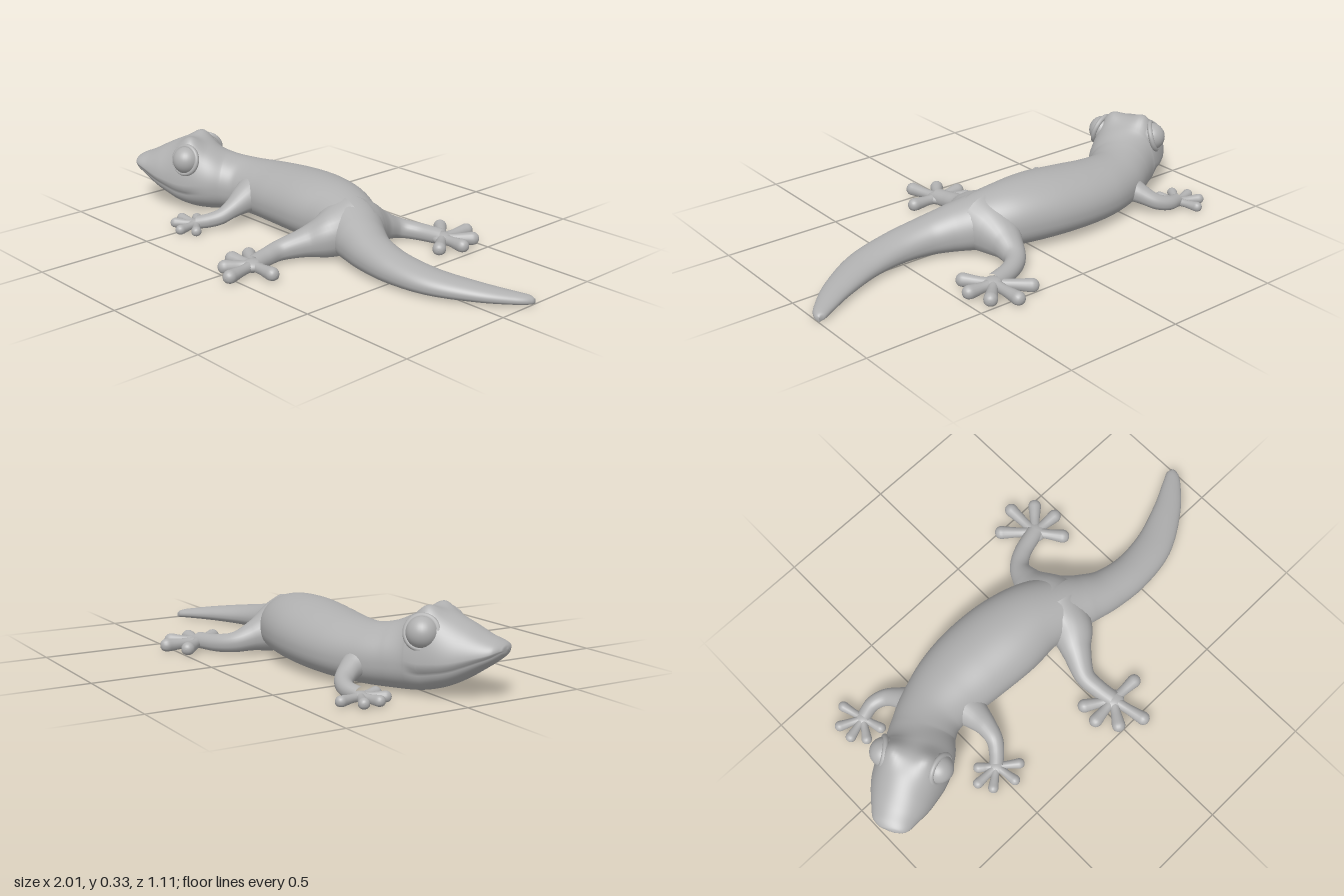
import * as THREE from 'three';

const skin = new THREE.MeshStandardMaterial({ color: 0xb0b0b0 });
skin.name = 'grey skin';

// Skin a row of stations { x, z, w (half width), mid, top, bottom, lip } with upright cross-sections.
function loft(name, stations, steps, sides, lift = () => 0) {
  const curve = (pick) => new THREE.CatmullRomCurve3(
    stations.map((s) => new THREE.Vector3(...pick(s))), false, 'catmullrom', 0.5);
  const spine = curve((s) => [s.x, 0, s.z]);
  const upper = curve((s) => [s.w, s.mid, s.top]);
  const lower = curve((s) => [s.bottom, s.lip, 0]);
  const pos = [], index = [];
  for (let i = 0; i <= steps; i++) {
    const t = i / steps;
    const c = spine.getPoint(t), d = spine.getTangent(t);
    const { x: width, y: mid, z: top } = upper.getPoint(t);
    const { x: bottom, y: lip } = lower.getPoint(t);
    for (let j = 0; j < sides; j++) {
      const a = (j / sides) * Math.PI * 2;
      const sin = j * 2 === sides ? 0 : Math.sin(a);
      // the jaw steps in just below the lip line, the belly is a little flattened
      const inset = sin < 0 ? 1 - Math.max(0, lip) * (1 + 0.5 * sin) : 1;
      const side = Math.max(0, width) * Math.cos(a) * inset;
      const x = c.x - d.z * side, z = c.z + d.x * side;
      const y = sin < 0
        ? mid - (mid - bottom) * Math.pow(-sin, 0.8)
        : mid + (top - mid) * sin + lift(x, z) * Math.min(1, sin * 1.6);
      pos.push(x, Math.max(0, y), z);
      if (i < steps) {
        const k = (j + 1) % sides, p = i * sides, q = p + sides;
        index.push(p + j, q + j, p + k, p + k, q + j, q + k);
      }
    }
  }
  const geo = new THREE.BufferGeometry();
  geo.setAttribute('position', new THREE.Float32BufferAttribute(pos, 3));
  geo.setIndex(index);
  geo.computeVertexNormals();
  const mesh = new THREE.Mesh(geo, skin);
  mesh.name = name;
  return mesh;
}

// Point midway between the eyes, and the direction across the head
const HEAD = { x: -0.74, z: 0.045 };
const ACROSS = { x: 0.48, z: 0.877 };

// Raised brows over both eyes
function brow(x, z) {
  const bump = (s) => {
    const dx = x - HEAD.x - ACROSS.x * s, dz = z - HEAD.z - ACROSS.z * s;
    return 0.045 * Math.exp(-(dx * dx + dz * dz) / 0.0032);
  };
  return bump(0.085) + bump(-0.085);
}

function makeBody() {
  // snout to nape: x, z, half width, mouth height, top, underside
  const head = [
    [-0.988, 0.182, 0, 0.186, 0.188, 0.184],
    [-0.982, 0.179, 0.045, 0.184, 0.203, 0.165],
    [-0.962, 0.168, 0.076, 0.176, 0.217, 0.142],
    [-0.922, 0.143, 0.1, 0.158, 0.236, 0.108],
    [-0.865, 0.11, 0.127, 0.135, 0.27, 0.065],
    [-0.805, 0.075, 0.145, 0.117, 0.299, 0.03],
    [-0.74, 0.042, 0.152, 0.108, 0.306, 0.008],
    [-0.68, 0.008, 0.148, 0.118, 0.285, 0],
  ].map(([x, z, w, mid, top, bottom]) => ({
    x, z, w, mid, top, bottom, lip: 0.1 * THREE.MathUtils.smoothstep(-x, 0.66, 0.74) }));
  // nape to tail tip: x, z, half width, top
  const trunk = [
    [-0.615, -0.04, 0.135, 0.25],
    [-0.53, -0.083, 0.138, 0.234],
    [-0.4, -0.107, 0.16, 0.24],
    [-0.26, -0.11, 0.175, 0.252],
    [-0.1, -0.1, 0.176, 0.261],
    [0.04, -0.085, 0.156, 0.254],
    [0.165, -0.045, 0.13, 0.225],
    [0.27, 0, 0.105, 0.187],
    [0.37, 0.032, 0.09, 0.152],
    [0.51, 0.045, 0.083, 0.12],
    [0.67, 0.02, 0.078, 0.092],
    [0.83, -0.055, 0.06, 0.066],
    [0.94, -0.13, 0.04, 0.045],
    [0.985, -0.17, 0.024, 0.033],
    [0.998, -0.187, 0, 0.018],
  ].map(([x, z, w, top]) => ({ x, z, w, mid: 0.46 * top, top, bottom: 0, lip: 0 }));
  return loft('body', [...head, ...trunk], 220, 64, brow);
}

const round = (x, z, y, r) => ({ x, z, w: r, mid: y, top: y + r, bottom: Math.max(0, y - r), lip: 0 });

// Toe that widens into a rounded pad at its tip
function makeToe([px, pz], [tx, tz], size) {
  const len = Math.hypot(tx - px, tz - pz);
  const profile = [[0, 0.9], [0.35 * len, 0.8], [len - 2 * size, 0.97], [len - size, 1.07],
    [len - 0.4 * size, 0.83], [len - 0.1 * size, 0.45], [len, 0]];
  return loft('toe', profile.map(([s, r]) =>
    round(px + (tx - px) * s / len, pz + (tz - pz) * s / len, size, r * size)), 24, 16);
}

// Height and radius from hip or shoulder to ankle, and toe thickness
const HIND = { toe: 0.026, height: [0.11, 0.097, 0.072, 0.047, 0.036, 0.03],
  radius: [0.12, 0.095, 0.063, 0.043, 0.037, 0.036] };
const FORE = { toe: 0.02, height: [0.12, 0.105, 0.08, 0.052, 0.036, 0.026],
  radius: [0.088, 0.061, 0.043, 0.035, 0.031, 0.028] };

// Limb along a path of [x, z] points, with a palm at its end and toes to the given tips
function makeLimb(name, { toe, height, radius }, path, tips) {
  const limb = new THREE.Group();
  limb.name = name;
  limb.add(loft('leg', path.map(([x, z], i) => round(x, z, height[i], radius[i])), 40, 24));

  const palm = path[path.length - 1];
  const pad = new THREE.Mesh(new THREE.SphereGeometry(1, 24, 16), skin);
  pad.name = 'palm';
  pad.scale.set(toe * 1.75, toe, toe * 1.75);
  pad.position.set(palm[0], toe, palm[1]);
  limb.add(pad, ...tips.map((tip) => makeToe(palm, tip, toe)));
  return limb;
}

// Eyeball with a raised rim; side is +1 for left, -1 for right
function makeEye(side) {
  const eye = new THREE.Group();
  eye.name = side > 0 ? 'leftEye' : 'rightEye';
  const ball = new THREE.Mesh(new THREE.SphereGeometry(0.06, 32, 24), skin);
  ball.name = 'eyeball';
  const rim = new THREE.Mesh(new THREE.TorusGeometry(0.06, 0.011, 12, 40), skin);
  rim.name = 'eyeRim';
  rim.position.z = 0.008;
  eye.add(ball, rim);
  eye.position.set(HEAD.x + ACROSS.x * side * 0.112, 0.236, HEAD.z + ACROSS.z * side * 0.112);
  // looks outward, slightly up and forward
  const gaze = new THREE.Vector3(ACROSS.x * side - 0.2, 0.3, ACROSS.z * side + 0.11);
  eye.lookAt(gaze.add(eye.position));
  return eye;
}

export function createModel() {
  const model = new THREE.Group();
  model.name = 'gecko';
  model.add(
    makeBody(),
    makeEye(1),
    makeEye(-1),
    makeLimb('leftHindLeg', HIND,
      [[0.14, -0.03], [0.125, 0.06], [0.085, 0.135], [0.038, 0.23], [0.04, 0.31], [0.052, 0.385]],
      [[-0.075, 0.305], [-0.09, 0.4], [-0.025, 0.5], [0.09, 0.553], [0.2, 0.388]]),
    makeLimb('rightHindLeg', HIND,
      [[0.155, -0.08], [0.15, -0.16], [0.158, -0.235], [0.182, -0.305], [0.245, -0.352], [0.35, -0.385]],
      [[0.225, -0.505], [0.35, -0.56], [0.455, -0.495], [0.492, -0.38], [0.44, -0.265]]),
    makeLimb('leftForeLeg', FORE,
      [[-0.42, -0.02], [-0.412, 0.055], [-0.41, 0.115], [-0.42, 0.17], [-0.45, 0.213], [-0.487, 0.25]],
      [[-0.56, 0.19], [-0.61, 0.25], [-0.575, 0.32], [-0.47, 0.365], [-0.395, 0.32]]),
    makeLimb('rightForeLeg', FORE,
      [[-0.53, -0.1], [-0.555, -0.165], [-0.582, -0.225], [-0.62, -0.274], [-0.675, -0.294], [-0.74, -0.28]],
      [[-0.77, -0.395], [-0.85, -0.33], [-0.85, -0.25], [-0.8, -0.185], [-0.71, -0.178]]),
  );
  return model;
}
